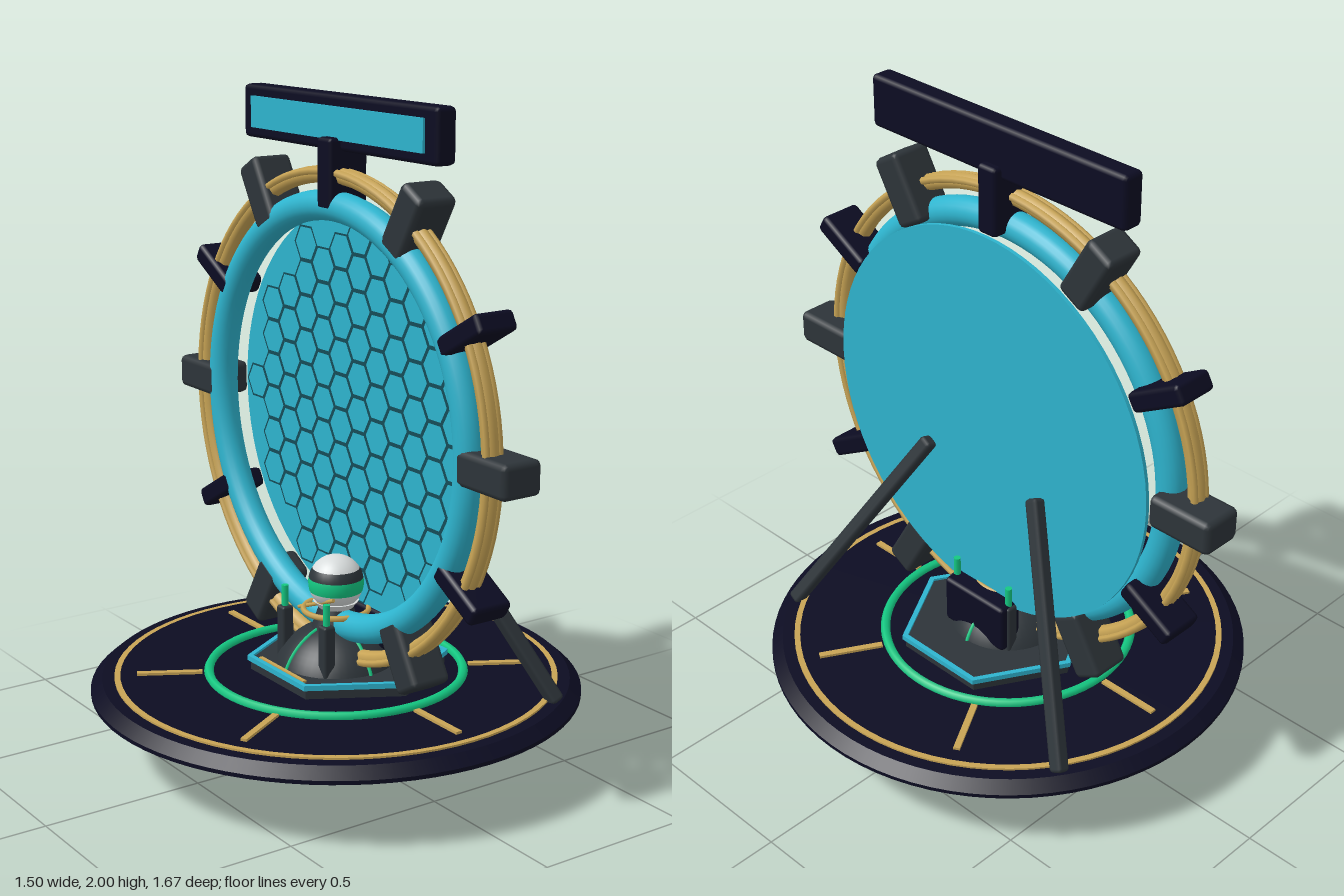
import * as THREE from 'three';
import { mergeGeometries } from 'three/addons/utils/BufferGeometryUtils.js';
import { RoundedBoxGeometry } from 'three/addons/geometries/RoundedBoxGeometry.js';

export function createModel() {
  const model = new THREE.Group();
  const mat = (name, color) => Object.assign(new THREE.MeshStandardMaterial({ color }), { name });
  const navy = mat('navy', 0x0c0c22), grey = mat('graphite', 0x2d3439), blue = mat('cyan', 0x2eb4ce);
  const gold = mat('gold', 0xc8a455), green = mat('green', 0x14c882), white = mat('offWhite', 0xd8dcdc);
  const seam = mat('darkTeal', 0x154c58);

  const add = (name, geo, material, x = 0, y = 0, z = 0, parent = model) => {
    const m = new THREE.Mesh(geo, material);
    m.name = name;
    m.position.set(x, y, z);
    parent.add(m);
    return m;
  };
  const box = (w, h, d, r = 0.012) => new RoundedBoxGeometry(w, h, d, 1, r);
  const flatRing = (R, t, seg = 72) => new THREE.TorusGeometry(R, t, 6, seg).rotateX(Math.PI / 2);
  const sideRing = (R, t, radial, seg = 72) => new THREE.TorusGeometry(R, t, radial, seg).rotateY(Math.PI / 2);

  // Round base with sloped rim
  const rim = [[0, 0.21], [0.75, 0.21], [0.75, 0.222], [0.715, 0.252], [0, 0.252]];
  const profile = rim.map(([r, y]) => new THREE.Vector2(r, y));
  // doubled corners keep the edges crisp
  for (let i = 0; i < rim.length - 1; i++) {
    add('base', new THREE.LatheGeometry([profile[i], profile[i + 1]], 80), navy);
  }
  add('baseGoldRing', new THREE.CylinderGeometry(0.678, 0.678, 0.008, 72, 1, true), gold, 0, 0.254);
  add('baseGoldRingTop', new THREE.RingGeometry(0.66, 0.678, 72).rotateX(-Math.PI / 2), gold, 0, 0.258);
  add('baseGreenRing', flatRing(0.39, 0.015), green, 0, 0.257);
  for (let i = 0; i < 6; i++) {
    const a = Math.PI / 6 + i * Math.PI / 3;
    const dash = add('baseDash', new THREE.BoxGeometry(0.2, 0.008, 0.02), gold, 0.51 * Math.cos(a), 0.256, 0.51 * Math.sin(a));
    dash.rotation.y = -a;
  }

  // Hexagonal platform with cyan border
  const hex = (R) => Array.from({ length: 6 }, (_, i) => {
    const a = Math.PI / 6 + i * Math.PI / 3;
    return new THREE.Vector2(R * Math.cos(a), R * Math.sin(a));
  });
  const slab = (pts, h, hole) => {
    const s = new THREE.Shape(pts);
    if (hole) s.holes.push(new THREE.Path(hole));
    return new THREE.ExtrudeGeometry(s, { depth: h, bevelEnabled: false }).rotateX(-Math.PI / 2);
  };
  add('platform', slab(hex(0.3), 0.04), grey, 0.045, 0.25);
  add('platformBorder', slab(hex(0.31), 0.016, hex(0.292)), blue, 0.045, 0.281);
  add('platformGoldStrip', new THREE.BoxGeometry(0.012, 0.008, 0.24), gold, -0.197, 0.293);

  // Sphere core with green meridians and lower collar
  add('core', new THREE.SphereGeometry(0.2, 48, 32), grey, 0, 0.208);
  for (const a of [0, Math.PI / 2]) {
    add('coreMeridian', new THREE.TorusGeometry(0.2, 0.006, 6, 64), green, 0, 0.208).rotation.y = a;
  }
  add('coreCollar', flatRing(0.112, 0.012, 40), white, 0, 0.042);

  // Console and four corner posts with green tips
  add('console', box(0.08, 0.16, 0.25), navy, 0.115, 0.375);
  for (const x of [-0.112, 0.112]) for (const z of [-0.112, 0.112]) {
    add('cornerPost', box(0.04, 0.17, 0.04, 0.008), grey, x, 0.365, z);
    add('cornerTip', new THREE.CylinderGeometry(0.011, 0.011, 0.07, 10), green, x, 0.48, z);
  }

  // Banded pod on a small stem
  add('podStem', new THREE.CylinderGeometry(0.045, 0.08, 0.1, 24), grey, 0, 0.43);
  add('podGoldRing', flatRing(0.1, 0.009, 40), gold, 0, 0.45);
  add('podCollar', new THREE.CylinderGeometry(0.07, 0.05, 0.025, 24), white, 0, 0.465);
  const bands = [[0, 0.32, white], [0.32, 0.44, grey], [0.44, 0.6, green], [0.6, 1, white]];
  for (const [from, to, m] of bands) {
    add('podBand', new THREE.SphereGeometry(0.085, 28, 8, 0, Math.PI * 2, from * Math.PI, (to - from) * Math.PI), m, 0, 0.535);
  }
  add('podArm', new THREE.CylinderGeometry(0.006, 0.006, 0.2, 8).rotateX(1.2), gold, -0.06, 0.47, -0.02);

  // Upright ring assembly
  const ring = new THREE.Group();
  ring.name = 'uprightRing';
  ring.position.y = 1.045;
  model.add(ring);
  add('cyanRing', sideRing(0.635, 0.045, 20, 96), blue, 0, 0, 0, ring);
  add('goldRing', sideRing(0.725, 0.025, 8, 96), gold, 0, 0, 0, ring);
  for (const x of [-0.022, 0.022]) add('goldRingTrim', sideRing(0.735, 0.012, 6, 96), gold, x, 0, 0, ring);

  // Clamps around the ring, alternating wide and narrow
  for (let i = 0; i < 12; i++) {
    if (i === 3 || i === 9) continue;
    const wide = i % 2 === 0;
    const clamp = new THREE.Group();
    clamp.name = wide ? 'wideClamp' : 'narrowClamp';
    clamp.rotation.x = -i * Math.PI / 6;
    ring.add(clamp);
    add('clampBlock', box(0.134, wide ? 0.104 : 0.062, wide ? 0.215 : 0.2, wide ? 0.018 : 0.014),
      wide ? grey : navy, 0.021, 0, wide ? 0.73 : 0.725, clamp);
  }

  // Round panel with hexagonal seams on its inner face
  add('panel', new THREE.CylinderGeometry(0.625, 0.625, 0.012, 80).rotateZ(Math.PI / 2), blue, 0.09, 0, 0, ring);
  const cells = [], R = 0.062, dy = R * Math.sqrt(3), dz = R * 1.5;
  for (let c = -6; c <= 6; c++) for (let r = -6; r <= 6; r++) {
    const z = c * dz, y = (r + (c % 2 ? 0.5 : 0)) * dy;
    if (Math.hypot(z, y) > 0.565) continue;
    cells.push(new THREE.RingGeometry(R * 0.89, R, 6, 1).rotateY(-Math.PI / 2).translate(0.082, y, z));
  }
  add('panelSeams', mergeGeometries(cells), seam, 0, 0, 0, ring);

  // Overhead bar on a neck, with a cyan strip on one side
  add('barNeck', box(0.134, 0.21, 0.07), navy, 0.021, 1.775);
  add('overheadBar', box(0.07, 0.16, 0.965, 0.014), navy, 0.027, 1.92);
  add('barStrip', new THREE.BoxGeometry(0.009, 0.095, 0.86), blue, -0.011, 1.92);

  // Rear struts from the base up to the panel
  for (const s of [-1, 1]) {
    const a = new THREE.Vector3(0.385, 0.25, s * 0.585), b = new THREE.Vector3(0.115, 0.905, s * 0.22);
    const strut = add('strut', box(0.046, a.distanceTo(b), 0.046, 0.012), grey);
    strut.position.copy(a).add(b).multiplyScalar(0.5);
    strut.quaternion.setFromUnitVectors(new THREE.Vector3(0, 1, 0), b.sub(a).normalize());
  }
  return model;
}
